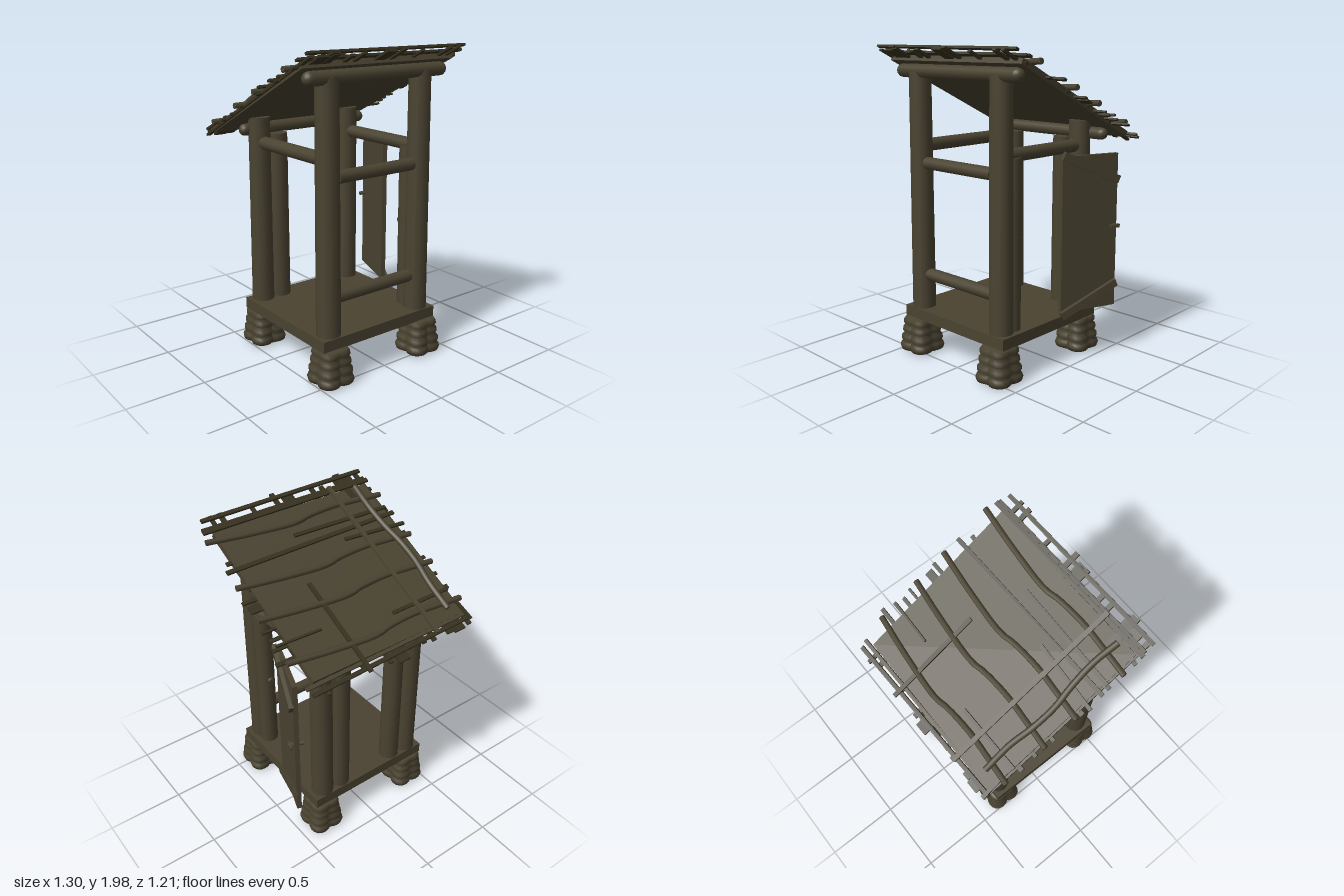
import * as THREE from 'three';

const wood = new THREE.MeshStandardMaterial({ color: 0x4a4331 });
wood.name = 'weathered wood';
const darkWood = new THREE.MeshStandardMaterial({ color: 0x37311f });
darkWood.name = 'dark wood';

const V = (x, y, z) => new THREE.Vector3(x, y, z);
// Point on the sloping roof plane, raised by off
const R = (x, z, off = 0) => V(x, 1.657 + 0.487 * z + off, z);
const roofNormal = V(0, 1, -0.487).normalize();

export function createModel() {
  const model = new THREE.Group();
  model.name = 'hut';

  function add(parent, name, geo, mat = wood) {
    const m = new THREE.Mesh(geo, mat);
    m.name = name;
    parent.add(m);
    return m;
  }
  // Round timber from a to b
  function log(parent, name, a, b, r0, r1 = r0, sides = 12) {
    const d = b.clone().sub(a);
    const m = add(parent, name, new THREE.CylinderGeometry(r1, r0, d.length(), sides));
    m.position.copy(a).add(b).multiplyScalar(0.5);
    m.quaternion.setFromUnitVectors(V(0, 1, 0), d.normalize());
    return m;
  }
  // Flat board from a to b whose face points along normal n
  function board(parent, name, a, b, width, thick, n, mat = wood) {
    const d = b.clone().sub(a), len = d.length();
    d.normalize();
    const side = d.clone().cross(n).normalize();
    const up = side.clone().cross(d);
    const m = add(parent, name, new THREE.BoxGeometry(len, thick, width), mat);
    m.quaternion.setFromRotationMatrix(new THREE.Matrix4().makeBasis(d, up, side));
    m.position.copy(a).add(b).multiplyScalar(0.5);
    return m;
  }

  // Stacked-stone feet: four-lobed layers, broadest at the ground
  const profile = [[0, 0], [0.09, 0], [0.116, 0.012], [0.122, 0.035], [0.116, 0.055], [0.106, 0.066],
    [0.114, 0.08], [0.113, 0.105], [0.098, 0.122], [0.106, 0.138], [0.104, 0.163], [0.091, 0.177],
    [0.1, 0.192], [0.098, 0.215], [0.088, 0.232], [0, 0.235]].map(p => new THREE.Vector2(...p));
  const footGeo = new THREE.LatheGeometry(profile, 32);
  const fp = footGeo.attributes.position;
  for (let i = 0; i < fp.count; i++) {
    const x = fp.getX(i), y = fp.getY(i), z = fp.getZ(i);
    const a = Math.atan2(z, x);
    const square = (Math.cos(a) ** 4 + Math.sin(a) ** 4) ** -0.25;
    const notch = (0.16 - 0.45 * y) * Math.max(0, Math.cos(4 * a)) ** 3;
    const k = square * (1 - notch);
    fp.setXYZ(i, x * k, y, z * k);
  }
  footGeo.computeVertexNormals();
  for (const x of [-0.39, 0.325]) for (const z of [0.455, -0.285]) {
    const f = add(model, 'foot', footGeo);
    f.position.set(x, 0, z);
  }

  // Floor
  const floor = add(model, 'floor', new THREE.BoxGeometry(0.89, 0.072, 0.87));
  floor.position.set(-0.035, 0.266, 0.075);

  // Corner posts and opening jambs
  for (const x of [-0.387, 0.316]) {
    log(model, 'frontPost', V(x, 0.29, 0.43), V(x, 1.83, 0.42), 0.076, 0.07);
    log(model, 'backPost', V(x, 0.29, -0.29), V(x, 1.52, -0.287), 0.072, 0.068);
  }
  for (const x of [-0.25, 0.178]) log(model, 'backJamb', V(x, 0.29, -0.29), V(x, 1.405, -0.29), 0.067, 0.063);
  log(model, 'doorJamb', V(0.316, 0.29, 0.345), V(0.316, 1.35, 0.335), 0.06, 0.058);

  // Rails and headers
  for (const y of [1.255, 0.527]) log(model, 'frontRail', V(-0.325, y, 0.43), V(0.255, y, 0.43), 0.04);
  for (const x of [-0.387, 0.316]) log(model, 'sideHeader', V(x, 1.36, 0.4), V(x, 1.36, -0.27), 0.042);

  // Roof beams with rounded ends
  for (const [x0, x1, y, z, r] of [[-0.52, 0.455, 1.825, 0.44, 0.043], [-0.46, 0.45, 1.437, -0.34, 0.039]]) {
    const beam = add(model, 'roofBeam', new THREE.CapsuleGeometry(r, x1 - x0, 5, 12));
    beam.rotation.z = Math.PI / 2;
    beam.position.set((x0 + x1) / 2, y, z);
  }

  // Open door with two slanting braces and a handle
  const door = new THREE.Group();
  door.name = 'door';
  model.add(door);
  const out = V(0.38, 0, 0.15).normalize();
  const D = (t, y, off) => V(0.415 + 0.137 * t, y, 0.005 - 0.372 * t).addScaledVector(out, off);
  board(door, 'doorPanel', D(0, 0.83, 0), D(1, 0.83, 0), 0.99, 0.03, out);
  board(door, 'upperBrace', D(0, 1.335, 0.025), D(1, 1.16, 0.025), 0.05, 0.03, out);
  board(door, 'lowerBrace', D(0, 0.32, 0.025), D(1, 0.49, 0.025), 0.05, 0.03, out);
  log(door, 'handle', D(0.92, 0.865, -0.05), D(0.92, 0.865, 0.05), 0.013, 0.013, 8);
  board(door, 'handleGrip', D(0.86, 0.865, 0.035), D(1.02, 0.865, 0.035), 0.022, 0.02, out);
  log(model, 'latch', V(0.316, 0.85, 0.31), V(0.316, 0.85, 0.263), 0.022, 0.018, 8);

  // Roof sheet, smooth below
  const roof = new THREE.Group();
  roof.name = 'roof';
  model.add(roof);
  board(roof, 'roofSheet', R(-0.595, -0.015, 0.016), R(0.525, -0.015, 0.016), 1.09, 0.036, roofNormal);

  // Battens inside the sheet whose ends stick out up and down the slope: x, width, ends
  for (const [x, w, z0, z1] of [[-0.595, 0.03, -0.57, 0.56], [-0.51, 0.08, -0.58, 0.56], [-0.44, 0.05, -0.57, 0.58],
    [-0.31, 0.03, -0.57, 0.55], [-0.24, 0.03, -0.56, 0.57], [-0.055, 0.08, -0.6, 0.58], [0.03, 0.03, -0.58, 0.6],
    [0.2, 0.025, -0.55, 0.56], [0.41, 0.03, -0.55, 0.58], [0.475, 0.025, -0.59, 0.58]])
    board(roof, 'slopeBatten', R(x, z0, 0.008), R(x + 0.004, z1, 0.024), w, 0.014, roofNormal, darkWood);

  // Stub ends sticking out at the sides: z, left end, right end, width
  for (const [z, x0, x1, w] of [[-0.35, -0.6, 0.65, 0.025], [-0.275, -0.58, 0.62, 0.02], [-0.32, -0.635, 0.53, 0.03],
    [-0.22, -0.63, 0.6, 0.022], [-0.165, -0.6, 0.615, 0.015], [-0.1, -0.635, 0.53, 0.022], [-0.025, -0.6, 0.6, 0.05],
    [0.025, -0.59, 0.615, 0.022], [0.09, -0.635, 0.53, 0.03], [0.27, -0.63, 0.56, 0.025], [0.44, -0.63, 0.53, 0.025]])
    board(roof, 'sideBatten', R(x0, z, 0.016), R(x1, z + 0.006, 0.016), w, 0.012, roofNormal, darkWood);

  // Thin strips lying on the sheet: start x, z, end x, z, width, raise, material
  for (const [x0, z0, x1, z1, w, o, m] of [
    [-0.61, -0.54, 0.57, -0.568, 0.025, 0.024, darkWood], [-0.6, -0.515, 0.585, -0.528, 0.022, 0.026, wood],
    [-0.6, -0.352, -0.16, -0.355, 0.022, 0.042, darkWood], [0.3, -0.28, 0.6, -0.27, 0.014, 0.042, darkWood],
    [-0.65, 0.128, -0.2, 0.158, 0.022, 0.042, darkWood], [-0.635, 0.217, 0.6, 0.205, 0.026, 0.042, darkWood],
    [-0.61, 0.268, 0.085, 0.285, 0.024, 0.042, darkWood], [-0.63, 0.482, 0.585, 0.475, 0.028, 0.042, darkWood],
    [-0.62, 0.505, 0.58, 0.495, 0.022, 0.036, darkWood], [-0.62, 0.555, 0.555, 0.545, 0.025, 0.045, darkWood],
    [-0.33, -0.57, -0.33, 0.5, 0.028, 0.058, wood], [0.195, -0.6, 0.197, -0.02, 0.026, 0.048, darkWood],
    [-0.6, -0.57, -0.59, -0.42, 0.02, 0.045, darkWood], [-0.46, 0.4, -0.45, 0.59, 0.05, 0.03, darkWood]])
    board(roof, 'roofStrip', R(x0, z0, o), R(x1, z1, o), w, 0.014, roofNormal, m);

  // Crooked branches across the roof and one down the slope
  function branch(name, pts, r) {
    const curve = new THREE.CatmullRomCurve3(pts);
    add(roof, name, new THREE.TubeGeometry(curve, 24, r, 8));
    for (const [t, s] of [[0, -1], [1, 1]]) {
      const cap = add(roof, name + 'End', new THREE.CircleGeometry(r, 8));
      cap.position.copy(curve.getPoint(t));
      cap.quaternion.setFromUnitVectors(V(0, 0, 1), curve.getTangent(t).multiplyScalar(s));
    }
  }
  for (const z of [-0.425, -0.155, 0.055, 0.365])
    branch('crossBranch', [[-0.635, -0.008], [-0.45, 0.006], [-0.28, 0.017], [-0.08, 0.008], [0.01, -0.007],
      [0.3, 0.012], [0.605, 0.047]].map(([x, dz]) => R(x, z + dz, 0.045)), 0.018);
  branch('slopeBranch', [[-0.497, -0.47, 0.06], [-0.492, -0.3, 0.075], [-0.51, -0.15, 0.08], [-0.51, 0, 0.075],
    [-0.49, 0.12, 0.075], [-0.478, 0.28, 0.08], [-0.49, 0.43, 0.075]].map(p => R(...p)), 0.019);

  return model;
}
